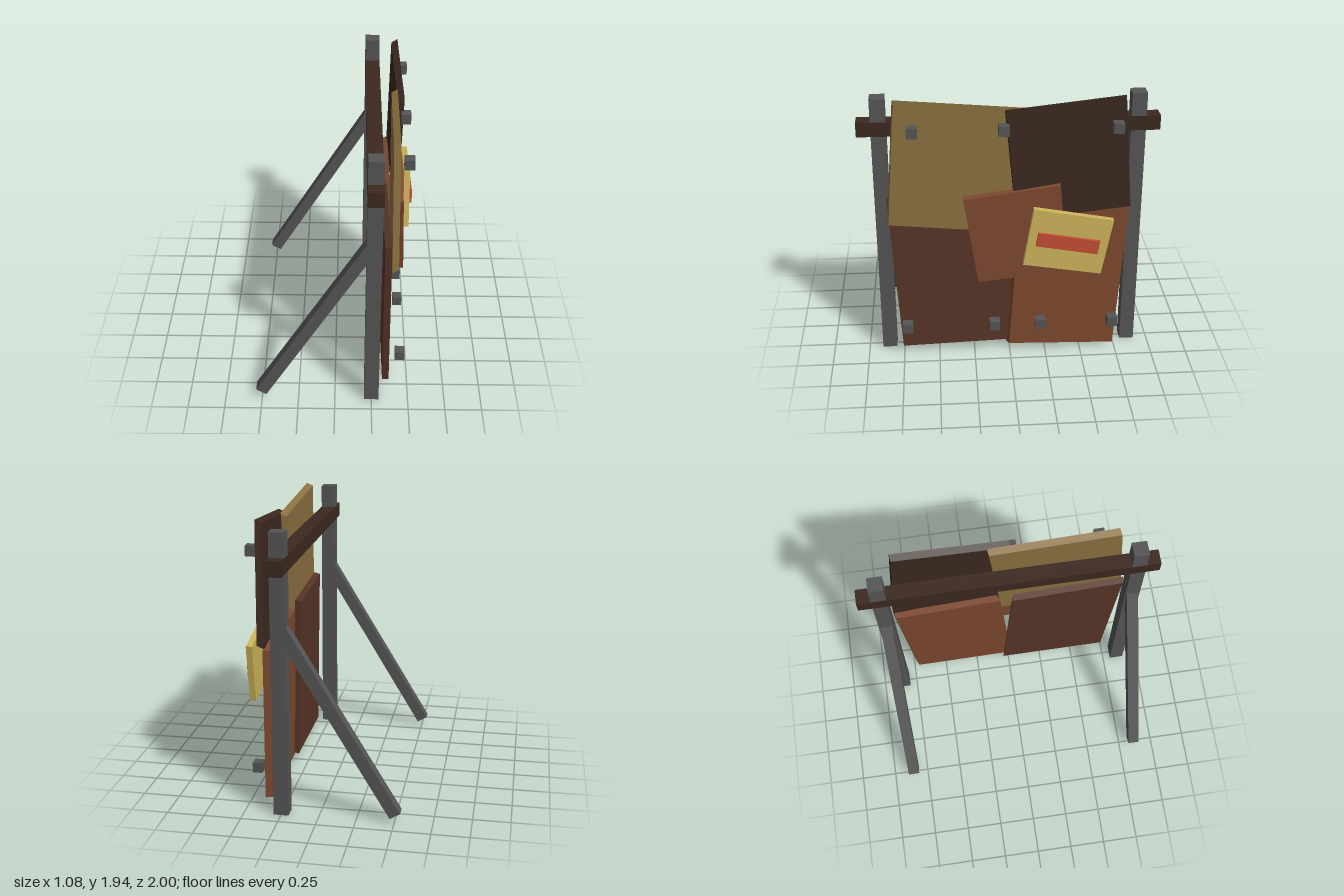
import * as THREE from 'three';

const mat = (color) => new THREE.MeshStandardMaterial({ color, flatShading: true });
const steel = mat(0x555555);
const darkWood = mat(0x3b2820);
const brown = mat(0x7c482f);
const umber = mat(0x573427);
const tan = mat(0x8b7040);
const yellow = mat(0xcdb45a);
const red = mat(0xc54e35);

function box(name, material, size, pos) {
  const mesh = new THREE.Mesh(new THREE.BoxGeometry(...size), material);
  mesh.name = name;
  mesh.position.set(...pos);
  return mesh;
}

// Slightly crooked board facing +x: four front corners as [x, y, z] in the order
// +z top, -z top, -z bottom, +z bottom, and the offset from front to back face
function slab(name, material, corners, back) {
  const [a, b, c, d] = corners.map((p) => new THREE.Vector3(...p));
  const offset = new THREE.Vector3(...back);
  const geo = new THREE.BoxGeometry(1, 1, 1).toNonIndexed();
  const pos = geo.attributes.position;
  for (let i = 0; i < pos.count; i++) {
    const top = pos.getY(i) > 0;
    const near = pos.getZ(i) > 0;
    const p = (top ? (near ? a : b) : (near ? d : c)).clone();
    if (pos.getX(i) < 0) p.add(offset);
    pos.setXYZ(i, p.x, p.y, p.z);
  }
  geo.computeVertexNormals();
  const mesh = new THREE.Mesh(geo, material);
  mesh.name = name;
  return mesh;
}

export function createModel() {
  const model = new THREE.Group();
  model.name = 'panelWall';

  // Upright posts with slanted braces behind them
  const foot = new THREE.Vector2(-0.505, 0.05);
  const head = new THREE.Vector2(0.245, 1.286);
  const run = head.clone().sub(foot);
  for (const side of [1, -1]) {
    const label = side > 0 ? 'left' : 'right';
    model.add(box(label + 'Post', steel, [0.1, 1.9, 0.1], [0.25, 0.95, side * 0.855]));
    const brace = box(label + 'Brace', steel, [0.08, run.length(), 0.08],
      [(foot.x + head.x) / 2, (foot.y + head.y) / 2, side * 0.855]);
    brace.rotation.z = -Math.atan2(run.x, run.y);
    model.add(brace);
  }

  // Cross beam through the posts
  model.add(box('crossBeam', darkWood, [0.104, 0.1, 2], [0.25, 1.69, 0]));

  // Four large panels
  model.add(slab('upperLeftPanel', tan,
    [[0.4, 1.93, 0.745], [0.41, 1.86, -0.12], [0.42, 0.965, -0.05], [0.412, 1.045, 0.815]],
    [-0.043, -0.02, 0.01]));
  model.add(slab('upperRightPanel', darkWood,
    [[0.45, 1.865, 0.03], [0.425, 1.94, -0.743], [0.412, 1.135, -0.81], [0.435, 1.06, -0.04]],
    [-0.043, -0.022, 0.005]));
  model.add(slab('lowerLeftPanel', umber,
    [[0.365, 1.22, 0.825], [0.347, 1.21, 0.04], [0.362, 0.07, -0.03], [0.372, 0.05, 0.755]],
    [-0.045, -0.01, -0.01]));
  model.add(slab('lowerRightPanel', brown,
    [[0.375, 1.17, -0.07], [0.375, 1.105, -0.81], [0.395, 0.035, -0.735], [0.395, 0.055, 0.005]],
    [-0.045, -0.005, 0.02]));

  // Patch panel over the middle
  model.add(slab('middlePatch', brown,
    [[0.455, 1.235, 0.315], [0.455, 1.325, -0.33], [0.462, 0.685, -0.39], [0.475, 0.617, 0.22]],
    [-0.045, 0.01, 0]));

  // Yellow sign board with a red bar
  model.add(slab('signBoard', yellow,
    [[0.52, 1.185, -0.15], [0.52, 1.085, -0.685], [0.52, 0.68, -0.61], [0.52, 0.77, -0.08]],
    [-0.042, 0, 0]));
  model.add(slab('signBar', red,
    [[0.54, 1.015, -0.18], [0.54, 0.94, -0.595], [0.54, 0.843, -0.578], [0.54, 0.92, -0.163]],
    [-0.025, 0, 0]));

  // Square bolts along the top and bottom
  const rows = [
    { name: 'upperBolt', x: 0.463, y: 1.735, zs: [0.635, 0.045, -0.695] },
    { name: 'lowerBolt', x: 0.443, y: 0.255, zs: [0.715, 0.11, -0.21, -0.715] },
  ];
  for (const { name, x, y, zs } of rows) {
    zs.forEach((z, i) => model.add(box(name + (i + 1), steel, [0.066, 0.07, 0.07], [x, y, z])));
  }

  return model;
}
